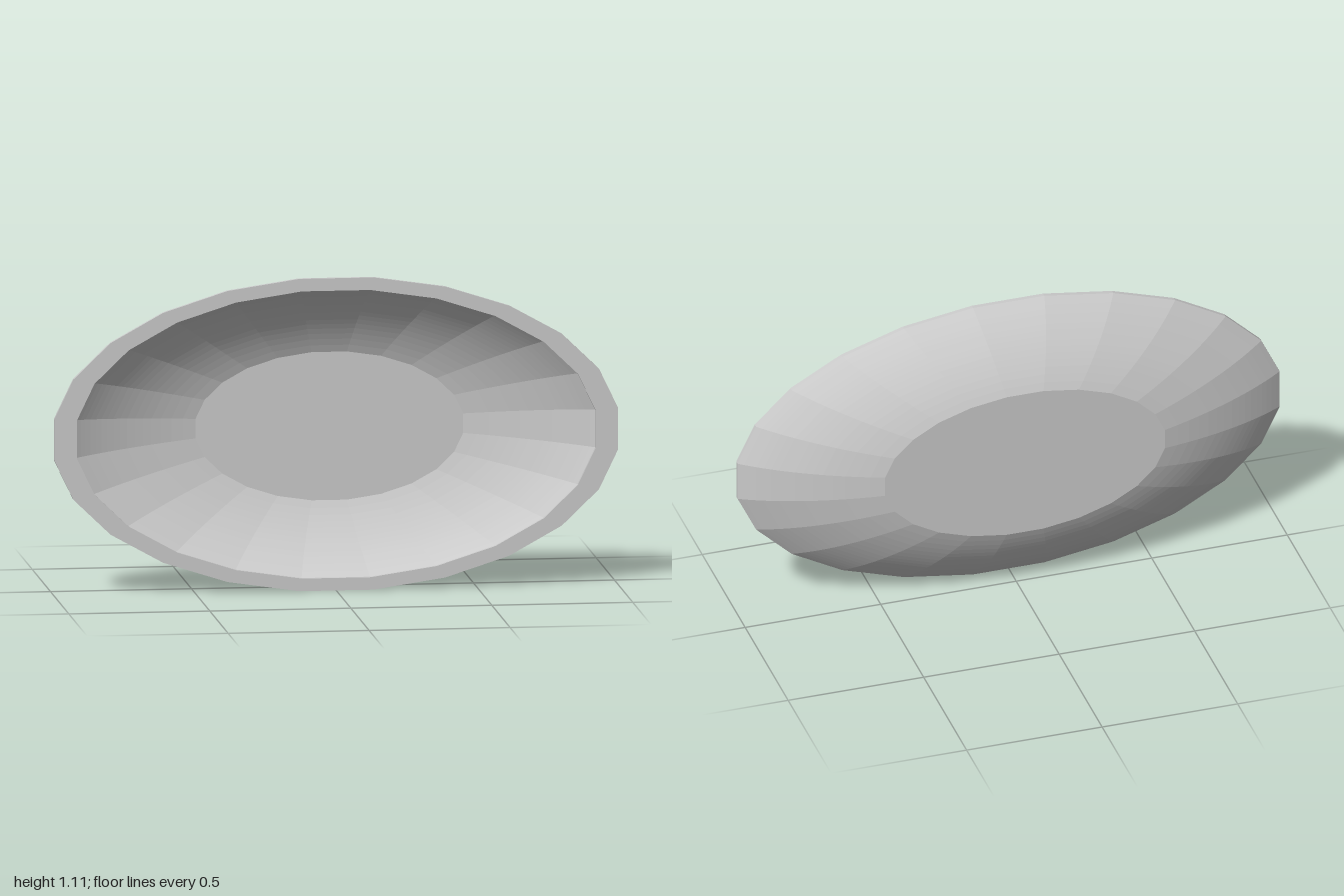
import * as THREE from 'three';

const SIDES = 24, ROWS = 16;
const FRONT = 0.103, LIP = 0.088, BACK = -0.103;
const INNER = 0.92; // the hollow is the outer form scaled down toward the rim plane

// Curved wall from back plate to lip, as [radius, depth], followed by the straight lip
function wallProfile() {
  const points = [];
  for (let i = 0; i <= ROWS; i++) {
    const z = THREE.MathUtils.lerp(BACK, LIP, i / ROWS);
    points.push(new THREE.Vector2(Math.sqrt(0.699 + 3.78 * z - 4.1 * z * z), z));
  }
  points.push(new THREE.Vector2(1, FRONT));
  return points;
}

export function createModel() {
  const group = new THREE.Group();
  group.name = 'ovalDish';

  const outer = wallProfile();
  const inner = wallProfile().reverse()
    .map(p => new THREE.Vector2(p.x * INNER, FRONT + (p.y - FRONT) * INNER));

  // Closed section: back plate, outer wall, rim, hollow, inner floor
  const profile = [
    new THREE.Vector2(0, BACK), ...outer,
    ...inner, new THREE.Vector2(0, inner[inner.length - 1].y),
  ];

  // Turn the section with flats on the axes, face it forward, stretch it to an oval
  const flat = Math.cos(Math.PI / SIDES);
  const geometry = new THREE.LatheGeometry(profile, SIDES, Math.PI / SIDES);
  geometry.rotateX(Math.PI / 2);
  geometry.scale(1 / flat, 0.556 / flat, 1);
  geometry.translate(0, 0.556, 0);

  const dish = new THREE.Mesh(geometry,
    new THREE.MeshStandardMaterial({ color: 0xcccccc, flatShading: true }));
  dish.name = 'dishShell';
  group.add(dish);
  return group;
}
